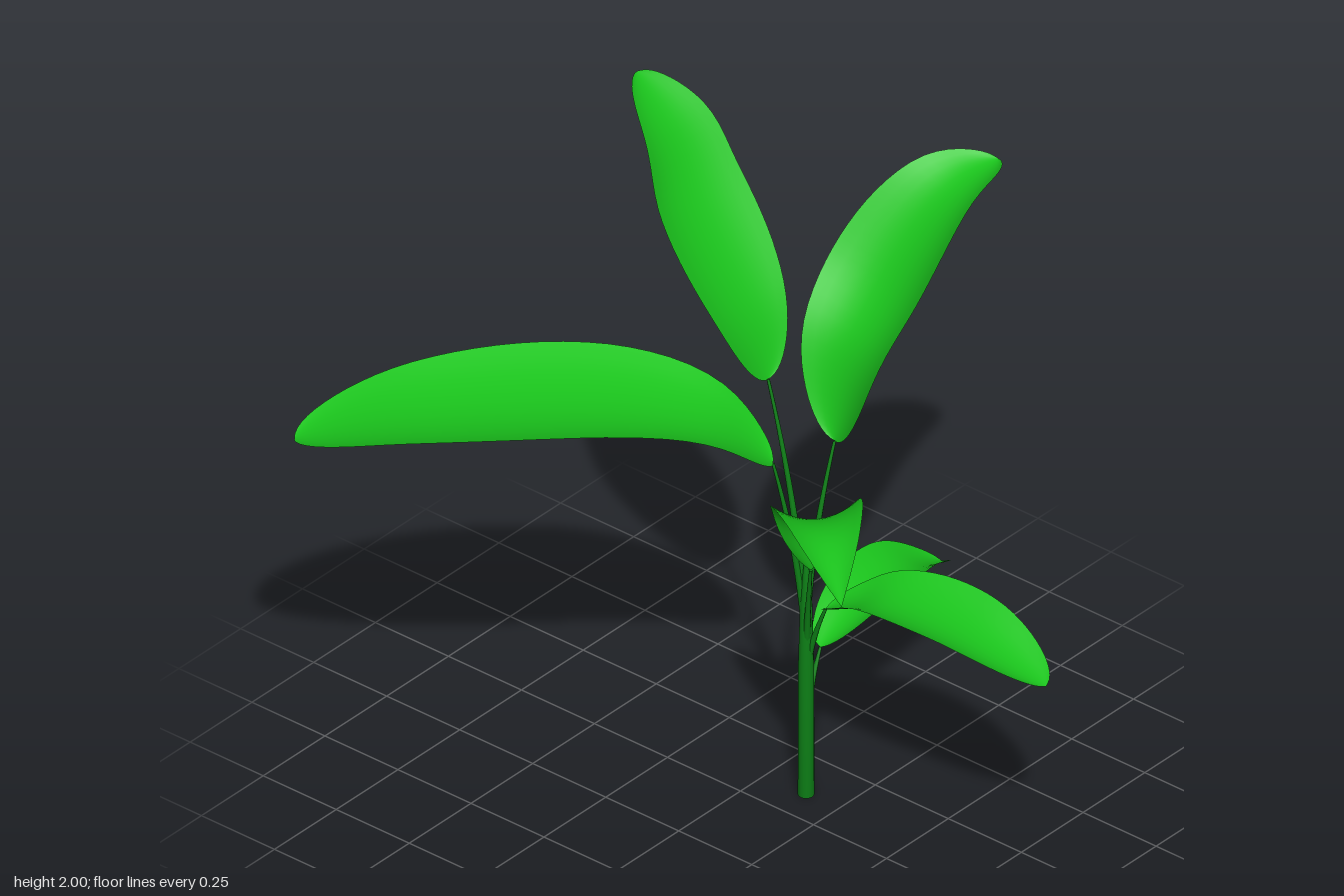
import * as THREE from 'three';

const leafMaterial = new THREE.MeshStandardMaterial({ color: 0x1ac41c, side: THREE.DoubleSide });
const stemMaterial = new THREE.MeshStandardMaterial({ color: 0x0d7f16 });
const V = (x, y, z) => new THREE.Vector3(x, y, z);
const STEM_X = 0.1, STEM_Z = 0.14;

// Each leaf: midrib points, half width, cupping, and the height where its stalk leaves the stem
const LEAVES = [
  { name: 'topLeaf', width: 0.162, cup: 0.25, from: 0.55,
    rib: [V(0.1, 1.24, 0.01), V(0.09, 1.42, -0.06), V(0.09, 1.72, -0.25), V(0.115, 1.87, -0.34), V(0.11, 2, -0.45)] },
  { name: 'upperLeftLeaf', width: 0.175, cup: 0.38, from: 0.55,
    rib: [V(0.21, 1.05, 0.145), V(0.295, 1.29, 0.145), V(0.41, 1.42, 0.15), V(0.61, 1.65, 0.2), V(0.755, 1.7, 0.245)] },
  { name: 'largeBackLeaf', width: 0.235, cup: 0.24, from: 0.5,
    rib: [V(0.06, 1.02, 0.06), V(-0.06, 1.15, -0.06), V(-0.2, 1.195, -0.23), V(-0.55, 1.175, -0.63), V(-0.73, 1.08, -0.91)] },
  { name: 'frontRightLeaf', width: 0.12, cup: 0.38, from: 0.42, peak: 0.75, sharpness: 1,
    rib: [V(0.06, 0.74, 0.19), V(0.035, 0.91, 0.225), V(-0.04, 0.99, 0.3), V(-0.13, 1.025, 0.4), V(-0.3, 0.975, 0.6)] },
  { name: 'frontLeaf', width: 0.135, cup: 0.35, from: 0.38,
    rib: [V(0.11, 0.6, 0.2), V(0.12, 0.635, 0.27), V(0.13, 0.68, 0.38), V(0.15, 0.685, 0.63), V(0.16, 0.63, 0.91)] },
  { name: 'lowerLeftLeaf', width: 0.103, cup: 0.4, from: 0.22,
    rib: [V(0.17, 0.42, 0.13), V(0.33, 0.47, 0.12), V(0.45, 0.48, 0.11), V(0.56, 0.465, 0.095), V(0.725, 0.39, 0.075)] },
];

// Cupped blade: a plane grid wrapped around the midrib, its width following a sine outline
function bladeGeometry({ rib, width, cup, peak = 1, sharpness = 0.5 }) {
  const across = 10, along = 36;
  const midrib = new THREE.CatmullRomCurve3(rib);
  const heading = rib.at(-1).clone().sub(rib[0]).setY(0).normalize();
  const side = V(heading.z, 0, -heading.x);
  const geometry = new THREE.PlaneGeometry(1, 1, across, along);
  const position = geometry.attributes.position;
  for (let i = 0; i <= along; i++) {
    const t = (1 - Math.cos(Math.PI * i / along)) / 2;
    const centre = midrib.getPointAt(t);
    const normal = midrib.getTangentAt(t).cross(side).normalize();
    const w = width * Math.max(Math.sin(Math.PI * t ** peak), 0.001) ** sharpness;
    for (let j = 0; j <= across; j++) {
      const s = 2 * j / across - 1;
      const p = centre.clone().addScaledVector(side, s * w).addScaledVector(normal, cup * w * s * s);
      position.setXYZ(i * (across + 1) + j, p.x, p.y, p.z);
    }
  }
  geometry.computeVertexNormals();
  return geometry;
}

// Stalk: a curved tube from the stem to the leaf base, narrowing toward the leaf
function stalkGeometry({ rib, from }) {
  const steps = 16, sides = 8;
  const start = V(STEM_X, from, STEM_Z);
  const bend = start.clone().lerp(rib[0], 0.25).setY((from + rib[0].y) / 2);
  const curve = new THREE.QuadraticBezierCurve3(start, bend, rib[0]);
  const geometry = new THREE.TubeGeometry(curve, steps, 0.012, sides);
  const position = geometry.attributes.position;
  const p = V();
  for (let n = 0; n < position.count; n++) {
    const t = Math.floor(n / (sides + 1)) / steps;
    p.fromBufferAttribute(position, n).lerp(curve.getPointAt(t), 0.65 * t);
    position.setXYZ(n, p.x, p.y, p.z);
  }
  return geometry;
}

function addMesh(parent, name, geometry, material) {
  const mesh = new THREE.Mesh(geometry, material);
  mesh.name = name;
  parent.add(mesh);
  return mesh;
}

export function createModel() {
  const plant = new THREE.Group();
  plant.name = 'plant';

  // Main stem, tapering above the lower leaves
  const profile = [[0, 0], [0.022, 0], [0.021, 0.4], [0.016, 0.6], [0.006, 0.72], [0, 0.73]];
  const stem = addMesh(plant, 'mainStem',
    new THREE.LatheGeometry(profile.map(([r, y]) => new THREE.Vector2(r, y)), 16), stemMaterial);
  stem.position.set(STEM_X, 0, STEM_Z);

  // Leaves with their stalks
  for (const leaf of LEAVES) {
    const group = new THREE.Group();
    group.name = leaf.name;
    addMesh(group, 'blade', bladeGeometry(leaf), leafMaterial);
    addMesh(group, 'stalk', stalkGeometry(leaf), stemMaterial);
    plant.add(group);
  }
  return plant;
}
